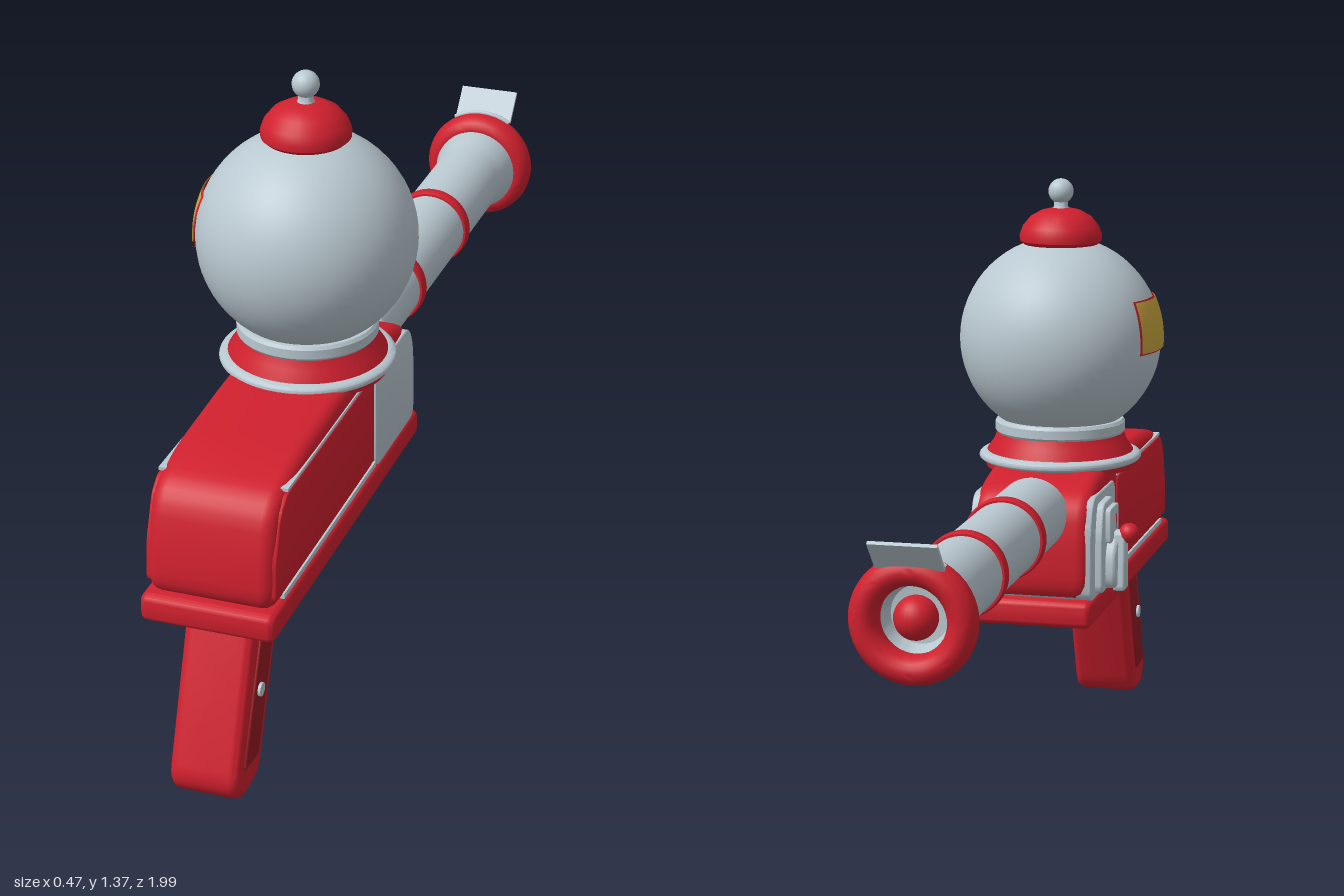
import * as THREE from 'three';
import { toCreasedNormals } from 'three/addons/utils/BufferGeometryUtils.js';

const mat = (name, color, side = THREE.FrontSide) => {
  const m = new THREE.MeshStandardMaterial({ color, side });
  m.name = name;
  return m;
};

export function createModel() {
  const red = mat('red', 0xd0202e), darkRed = mat('dark red', 0x941c24);
  const grey = mat('pale grey', 0xb9c8d0);
  const gold = mat('gold', 0xc9a640, THREE.DoubleSide);
  const redEdge = mat('label red', 0xd0202e, THREE.DoubleSide);
  const group = new THREE.Group();

  const add = (name, geo, material, x = 0, y = 0, z = 0) => {
    const mesh = new THREE.Mesh(geo, material);
    mesh.name = name;
    mesh.position.set(x, y, z);
    group.add(mesh);
    return mesh;
  };

  // Closed outline with rounded corners, given as [z, y]
  const outline = (pts, r, Type = THREE.Shape) => {
    const v = pts.map(([z, y]) => new THREE.Vector2(-z, y));
    const s = new Type();
    v.forEach((p, i) => {
      const toward = (q) => {
        const d = q.clone().sub(p);
        return p.clone().add(d.setLength(Math.min(r, d.length() * 0.48)));
      };
      const a = toward(v[(i + v.length - 1) % v.length]);
      const b = toward(v[(i + 1) % v.length]);
      if (i === 0) s.moveTo(a.x, a.y); else s.lineTo(a.x, a.y);
      s.quadraticCurveTo(p.x, p.y, b.x, b.y);
    });
    s.closePath();
    return s;
  };

  // Side outline extruded across x, centred on x = 0
  const slab = (shape, width, bevel) => {
    const g = new THREE.ExtrudeGeometry(shape, {
      depth: width - 2 * bevel, bevelEnabled: bevel > 0, bevelThickness: bevel,
      bevelSize: bevel, bevelOffset: -bevel, bevelSegments: 4, curveSegments: 6,
    });
    g.translate(0, 0, -(width - 2 * bevel) / 2);
    return toCreasedNormals(g.rotateY(Math.PI / 2), 0.6);
  };

  const lathe = (pts, seg = 48) => toCreasedNormals(
    new THREE.LatheGeometry(pts.map(([r, y]) => new THREE.Vector2(r, y)), seg), 0.6);
  const alongBarrel = (pts) => lathe(pts).rotateX(-Math.PI / 2);
  // Elliptical ring section, outer side first
  const ringProfile = (r, t, rr, rt) => Array.from({ length: 21 }, (_, i) => {
    const a = (i / 20) * Math.PI * 2;
    return [r + rr * Math.cos(a), t + rt * Math.sin(a)];
  });

  // Body housing and base plate
  add('bodyHousing', slab(outline([[0.942, 0.44], [0.935, 0.56], [0.9, 0.68], [0.76, 0.712],
    [0.5, 0.725], [0.18, 0.72], [0.055, 0.68], [0.033, 0.58], [0.033, 0.44]], 0.06), 0.27, 0.03), red);
  add('basePlate', slab(outline([[0.955, 0.388], [0.955, 0.45], [0.018, 0.45], [0.018, 0.388]], 0.02),
    0.288, 0.015), red);

  // Raised panels on both sides of the body
  add('sidePanels', slab(outline([[0.325, 0.468], [0.34, 0.678], [0.85, 0.678], [0.885, 0.65],
    [0.918, 0.56], [0.925, 0.468]], 0.015), 0.278, 0.004), red);
  add('frontPanels', slab(outline([[0.305, 0.445], [0.305, 0.68], [0.075, 0.68], [0.047, 0.62],
    [0.042, 0.445]], 0.03), 0.28, 0.004), grey);
  for (const s of [-1, 1]) {
    add('lowerTrim', new THREE.BoxGeometry(0.01, 0.012, 0.57), grey, s * 0.134, 0.457, 0.59);
    add('upperTrim', new THREE.BoxGeometry(0.016, 0.007, 0.51), grey, s * 0.13, 0.684, 0.59);
  }

  // Grip with inset panels and screws
  add('grip', slab(outline([[0.875, 0.4], [1.002, 0.05], [0.965, 0], [0.875, 0.005], [0.85, 0.03],
    [0.73, 0.34], [0.675, 0.4]], 0.035), 0.15, 0.02), red);
  add('gripPanels', slab(outline([[0.845, 0.35], [0.77, 0.34], [0.878, 0.068], [0.957, 0.075]], 0.01),
    0.16, 0.004), darkRed);
  add('gripScrew', new THREE.CylinderGeometry(0.015, 0.015, 0.172, 16).rotateZ(Math.PI / 2), grey, 0, 0.22, 0.868);

  // Trigger guard and trigger
  const guard = outline([[0.725, 0.4], [0.668, 0.285], [0.635, 0.279], [0.51, 0.279], [0.472, 0.31],
    [0.462, 0.4]], 0.025);
  guard.holes.push(outline([[0.7, 0.398], [0.65, 0.3], [0.63, 0.297], [0.52, 0.297], [0.492, 0.32],
    [0.48, 0.398]], 0.02, THREE.Path));
  add('triggerGuard', slab(guard, 0.05, 0.004), red);
  add('trigger', slab(outline([[0.61, 0.4], [0.588, 0.328], [0.574, 0.33], [0.578, 0.4]], 0.008), 0.03, 0.004), grey);

  // Barrel, bands and muzzle
  add('barrel', alongBarrel([[0, -0.065], [0.083, -0.065], [0.083, 0.8], [0.087, 0.83], [0.098, 0.87],
    [0.098, 0.92], [0.078, 0.93], [0.06, 0.87], [0, 0.865]]), grey, 0, 0.64);
  for (const t of [0.19, 0.525]) {
    add('barrelBand', alongBarrel([[0.08, t - 0.016], [0.088, t - 0.016], [0.091, t - 0.01],
      [0.091, t + 0.01], [0.088, t + 0.016], [0.08, t + 0.016]]), red, 0, 0.64);
  }
  add('muzzleRing', alongBarrel(ringProfile(0.1, 0.918, 0.031, 0.038)), red, 0, 0.64);
  add('muzzleBall', new THREE.SphereGeometry(0.045, 24, 16), red, 0, 0.64, -0.9);

  // Tilted sight on a curved bracket
  const arc = 1.1;
  add('sightBracket', new THREE.TorusGeometry(0.131, 0.006, 8, 20, arc).rotateZ((Math.PI - arc) / 2),
    grey, 0, 0.64, -0.93);
  add('sight', new THREE.BoxGeometry(0.14, 0.08, 0.008), grey, 0, 0.778, -0.968).rotation.x = -0.74;

  // Globe stand, globe, cap and finial
  const cz = 0.345;
  add('globeStand', lathe([[0, 0.69], [0.172, 0.7], [0.176, 0.72], [0.172, 0.735], [0.155, 0.76],
    [0.145, 0.785], [0, 0.79]]), red, 0, 0, cz);
  add('lowerStandRing', lathe(ringProfile(0.165, 0.725, 0.024, 0.013)), grey, 0, 0, cz);
  add('upperStandRing', lathe([[0.1, 0.778], [0.146, 0.778], [0.151, 0.785], [0.151, 0.805],
    [0.146, 0.812], [0.1, 0.815]]), grey, 0, 0, cz);
  add('globe', new THREE.SphereGeometry(0.233, 48, 32), grey, 0, 1, cz);
  add('cap', lathe([[0, 1.215], [0.085, 1.217], [0.094, 1.225], [0.095, 1.238], [0.088, 1.258],
    [0.07, 1.28], [0.045, 1.294], [0.02, 1.3], [0, 1.3]]), red, 0, 0, cz);
  add('finialNeck', lathe([[0, 1.29], [0.022, 1.292], [0.016, 1.305], [0.015, 1.325], [0, 1.33]], 24), grey, 0, 0, cz);
  add('finialBall', new THREE.SphereGeometry(0.029, 24, 16), grey, 0, 1.338, cz);

  // Curved label on the right of the globe
  const label = (name, r, inset, m) => {
    const w = 0.47 - inset, top = 1.13 + inset, bottom = 1.66 - inset;
    add(name, new THREE.SphereGeometry(r, 24, 12, -w, 2 * w, top, bottom - top), m, 0, 1, cz);
  };
  label('labelBorder', 0.236, 0, redEdge);
  label('label', 0.239, 0.018, gold);

  // Dispenser on the right side: slot frame, chute and crank
  const plate = slab(outline([[0.25, 0.455], [0.25, 0.59], [0.215, 0.66], [0.11, 0.66], [0.09, 0.59],
    [0.09, 0.455]], 0.02), 0.02, 0.005);
  add('dispenserPlate', plate, grey, -0.146);
  const frame = outline([[0.215, 0.565], [0.215, 0.645], [0.125, 0.645], [0.125, 0.565]], 0.012);
  frame.holes.push(outline([[0.198, 0.585], [0.198, 0.627], [0.142, 0.627], [0.142, 0.585]], 0.008, THREE.Path));
  add('slotFrame', slab(frame, 0.02, 0.003), grey, -0.158);
  add('chute', slab(outline([[0.215, 0.455], [0.215, 0.545], [0.17, 0.585], [0.125, 0.545],
    [0.125, 0.455]], 0.04), 0.04, 0.01), grey, -0.16);
  add('crankLever', slab(outline([[0.195, 0.45], [0.185, 0.59], [0.155, 0.59], [0.145, 0.45]], 0.012),
    0.028, 0.006), grey, -0.182);
  add('crankKnob', new THREE.SphereGeometry(0.023, 20, 14), red, -0.201, 0.583, 0.172);

  return group;
}
